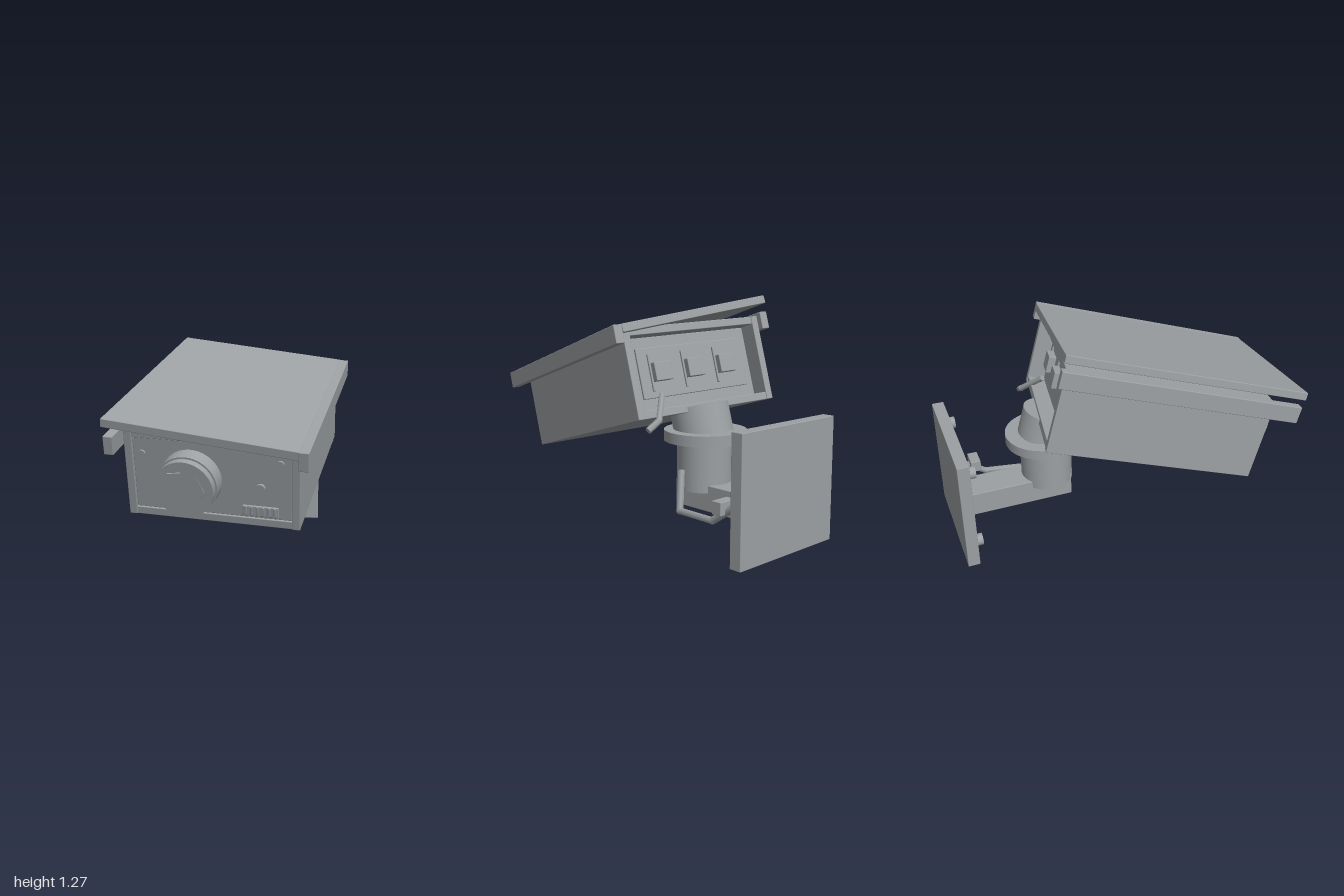
import * as THREE from 'three';
import { RoundedBoxGeometry } from 'three/addons/geometries/RoundedBoxGeometry.js';

const paint = new THREE.MeshStandardMaterial({ color: 0x9ca0a3 });

function add(parent, name, geometry, x = 0, y = 0, z = 0) {
  const mesh = new THREE.Mesh(geometry, paint);
  mesh.name = name;
  mesh.position.set(x, y, z);
  parent.add(mesh);
  return mesh;
}

// Box with slightly softened edges
function box(parent, name, w, h, d, x, y, z) {
  return add(parent, name, new RoundedBoxGeometry(w, h, d, 2, 0.004), x, y, z);
}

function cyl(parent, name, r, h, x, y, z, sides = 40) {
  return add(parent, name, new THREE.CylinderGeometry(r, r, h, sides), x, y, z);
}

// Disc or knob whose axis runs along z
function knob(parent, name, r, h, x, y, z, sides = 24) {
  const mesh = cyl(parent, name, r, h, x, y, z, sides);
  mesh.rotation.x = Math.PI / 2;
  return mesh;
}

// Cable of straight rods with round joints
function cable(parent, name, r, points) {
  const group = new THREE.Group();
  group.name = name;
  parent.add(group);
  const p = points.map((a) => new THREE.Vector3(...a));
  for (let i = 0; i < p.length - 1; i++) {
    const dir = p[i + 1].clone().sub(p[i]);
    const mid = p[i].clone().add(p[i + 1]).multiplyScalar(0.5);
    const rod = cyl(group, 'cableRod', r, dir.length(), mid.x, mid.y, mid.z, 6);
    rod.quaternion.setFromUnitVectors(new THREE.Vector3(0, 1, 0), dir.normalize());
    if (i > 0) add(group, 'cableJoint', new THREE.SphereGeometry(r, 8, 6), p[i].x, p[i].y, p[i].z);
  }
}

// Thin flat plate cut from an outline
function plate(parent, name, pts, depth, z) {
  const shape = new THREE.Shape(pts.map(([x, y]) => new THREE.Vector2(x, y)));
  return add(parent, name, new THREE.ExtrudeGeometry(shape, { depth, bevelEnabled: false }), 0, 0, z);
}

export function createModel() {
  const model = new THREE.Group();
  model.name = 'securityCamera';

  // Wall plate with four bolts
  box(model, 'wallPlate', 0.72, 0.665, 0.068, 0.09, 0.3325, -0.966);
  for (const x of [-0.183, 0.362])
    for (const y of [0.105, 0.565]) knob(model, 'bolt', 0.034, 0.04, x, y, -0.912);

  // Arm and swivel
  box(model, 'arm', 0.19, 0.142, 0.64, 0.09, 0.214, -0.62);
  cyl(model, 'swivelPost', 0.15, 0.27, 0.09, 0.378, -0.422);
  cyl(model, 'swivelFlange', 0.225, 0.058, 0.09, 0.535, -0.427);

  // Wall cable and its clip
  cable(model, 'wallCable', 0.02, [
    [0.26, 0.36, -0.415], [0.335, 0.167, -0.48], [0.365, 0.178, -0.74], [0.355, 0.31, -0.93],
  ]);
  box(model, 'cableClip', 0.11, 0.07, 0.06, 0.355, 0.262, -0.805);

  // Camera housing, aimed down and to one side; its origin is the middle of its floor
  const body = new THREE.Group();
  body.name = 'housing';
  body.position.set(0.007, 0.52, 0.095);
  body.rotation.set(0.273, -0.166, -0.046, 'YXZ');
  model.add(body);

  const neck = cyl(model, 'tiltNeck', 0.16, 0.16, 0.092, 0.605, -0.4);
  neck.rotation.copy(body.rotation);

  const W = 0.9, H = 0.475, D = 1.19, T = 0.042;
  box(body, 'floorWall', W - T, T, D - 0.01, 0, T / 2, 0);
  box(body, 'topWall', W - T, T, D - 0.01, 0, H - T / 2, 0);
  for (const s of [-1, 1]) {
    box(body, 'sideWall', T, H, D, s * (W - T) / 2, H / 2, 0);
    box(body, 'roofRail', 0.05, 0.097, 1.358, s * 0.482 + 0.008, 0.4425, 0.052);
  }

  // Roof panel, lifted along one long edge
  const roof = new THREE.Group();
  roof.name = 'roof';
  roof.position.set(0.514, 0.488, 0.05);
  roof.rotation.z = -0.094;
  body.add(roof);
  box(roof, 'roofPanel', 0.974, 0.045, 1.36, -0.533, -0.0225, 0);

  // Front panel with lens, sensors and grille
  const F = 0.582;
  box(body, 'frontPanel', W - 2 * T, H - 2 * T, 0.03, 0, H / 2, F - 0.015);
  knob(body, 'lensBarrel', 0.159, 0.09, -0.106, 0.229, F + 0.045, 48);
  knob(body, 'lensFront', 0.15, 0.04, -0.106, 0.229, F + 0.11, 48);
  const L = F + 0.127;
  plate(body, 'lensGlint', [[-0.035, 0.152], [0, 0.226], [-0.035, 0.303]], 0.006, L);
  plate(body, 'lensGlint', [[-0.218, 0.234], [-0.145, 0.284], [-0.117, 0.325], [-0.185, 0.314]], 0.012, L);
  knob(body, 'frontScrew', 0.018, 0.012, -0.361, 0.348, F + 0.006);
  knob(body, 'frontScrew', 0.018, 0.012, 0.352, 0.352, F + 0.006);
  knob(body, 'lightSensor', 0.024, 0.016, 0.25, 0.212, F + 0.008);
  box(body, 'grille', 0.185, 0.056, 0.014, 0.248, 0.083, F + 0.005);
  for (let i = 0; i < 6; i++) box(body, 'grilleRib', 0.014, 0.05, 0.01, 0.173 + i * 0.03, 0.083, F + 0.01);

  // Recessed rear panel with three connectors
  const B = -0.495;
  box(body, 'rearPanel', W - 2 * T, H - 2 * T, 0.03, 0, H / 2, B + 0.015);
  box(body, 'connectorPlate', 0.7, 0.27, 0.015, -0.01, 0.24, B - 0.006);
  for (const x of [-0.215, 0, 0.215]) {
    box(body, 'connector', 0.105, 0.1, 0.045, x, 0.24, B - 0.034);
    box(body, 'connectorStrip', 0.012, 0.2, 0.014, x + 0.058, 0.24, B - 0.018);
  }

  // Short cable leaving the rear panel
  cable(model, 'rearCable', 0.018, [[0.34, 0.765, -0.35], [0.46, 0.655, -0.455], [0.53, 0.612, -0.45]]);

  return model;
}
